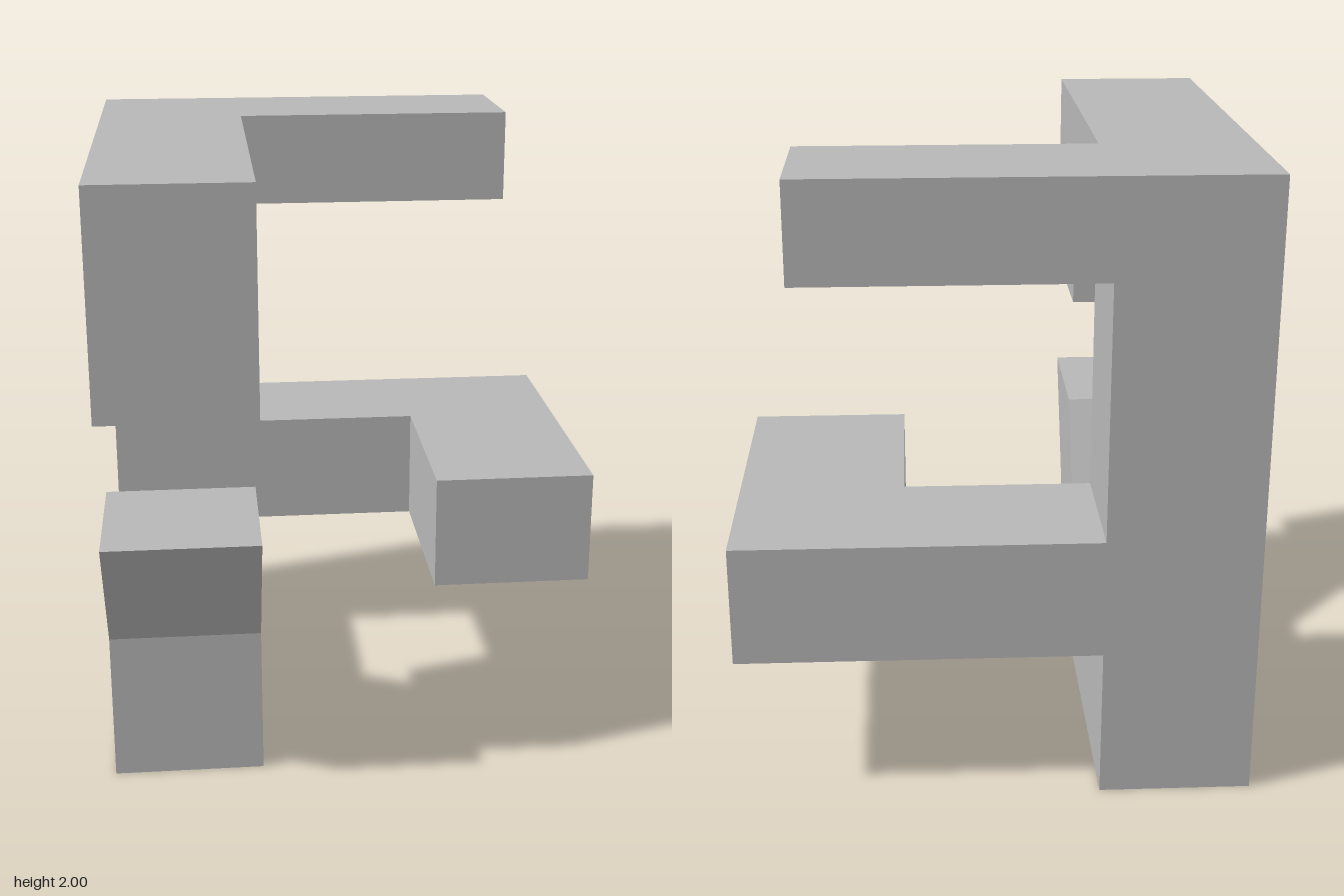
import * as THREE from 'three';

const grey = new THREE.MeshStandardMaterial({ color: 0xb8b8b8 });
grey.name = 'plain grey';

const LEFT = -0.815, INNER = -0.33, BACK = -0.845, COLUMN_FRONT = -0.385;

// Shape from points whose second or first entry holds -z, extruded to a depth
function extrude(name, points, depth) {
  const shape = new THREE.Shape(points.map(([a, b]) => new THREE.Vector2(a, b)));
  const mesh = new THREE.Mesh(new THREE.ExtrudeGeometry(shape, { depth, bevelEnabled: false }), grey);
  mesh.name = name;
  return mesh;
}

export function createModel() {
  const group = new THREE.Group();
  group.name = 'angularSculpture';

  // Upright slab: foot with slanted lip, column and hooked top, as a (z, y) side profile
  const profile = [
    [BACK, 0], [0.59, 0], [0.59, 0.49], [0.83, 0.9], [0.345, 0.9], [0.105, 0.49],
    [COLUMN_FRONT, 0.49], [COLUMN_FRONT, 1.69], [0.265, 1.69], [0.265, 1.3],
    [0.845, 1.3], [0.845, 2], [BACK, 2],
  ];
  const upright = extrude('uprightSlab', profile.map(([z, y]) => [-z, y]), INNER - LEFT);
  upright.geometry.rotateY(Math.PI / 2).translate(LEFT, 0, 0);
  group.add(upright);

  // Lower arm: L-shaped plan (x, z) that turns forward at its end
  const plan = [
    [INNER, BACK], [0.815, BACK], [0.815, 0.285], [0.28, 0.285],
    [0.28, COLUMN_FRONT], [INNER, COLUMN_FRONT],
  ];
  const lowerArm = extrude('lowerArm', plan.map(([x, z]) => [x, -z]), 0.385);
  lowerArm.geometry.rotateX(-Math.PI / 2).translate(0, 0.49, 0);
  group.add(lowerArm);

  // Upper arm: straight bar flush with the top and back
  const end = 0.605;
  const upperArm = new THREE.Mesh(
    new THREE.BoxGeometry(end - INNER, 0.31, COLUMN_FRONT - BACK), grey);
  upperArm.name = 'upperArm';
  upperArm.position.set((INNER + end) / 2, 1.845, (COLUMN_FRONT + BACK) / 2);
  group.add(upperArm);

  return group;
}
